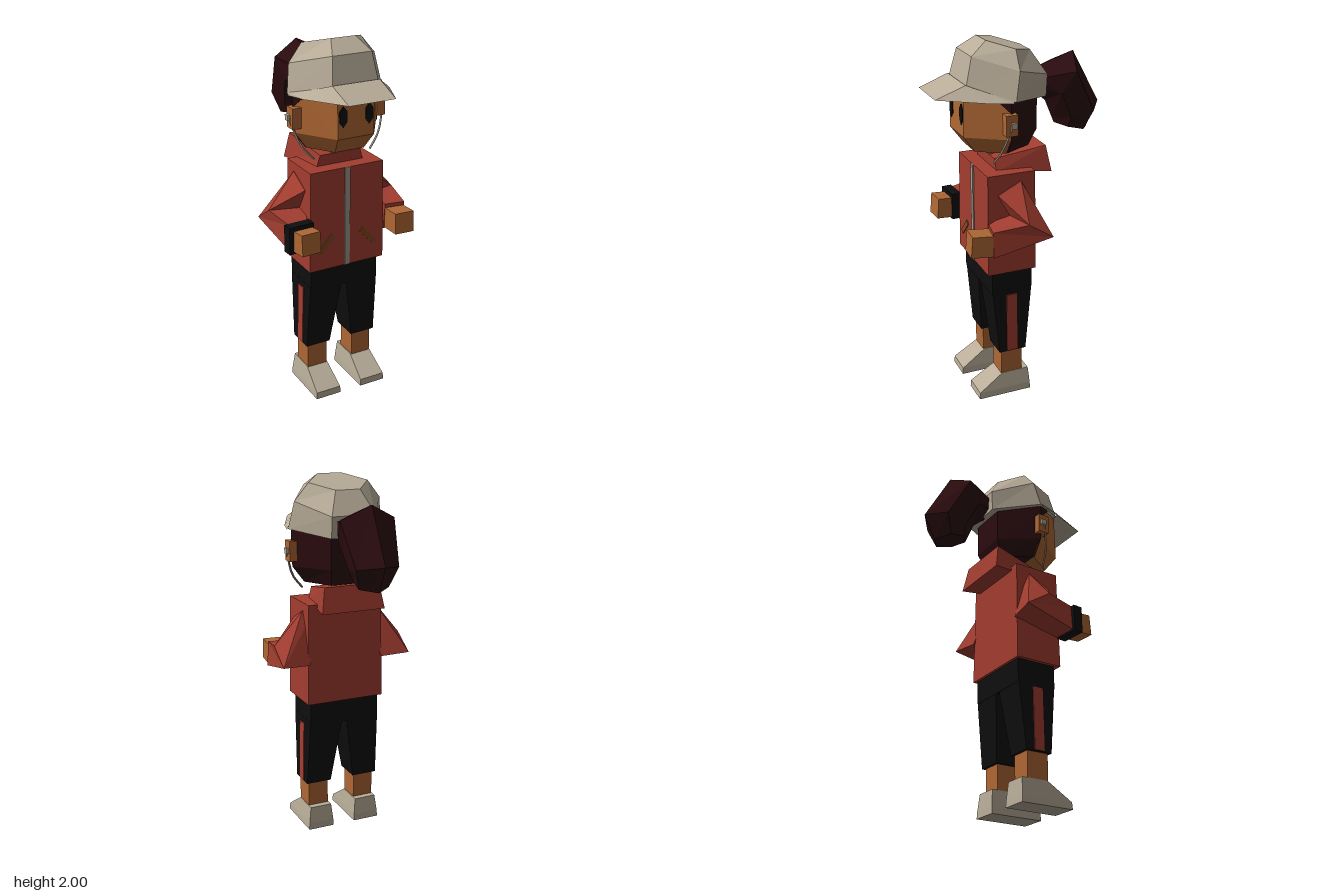
import * as THREE from 'three';

const mat = (name, color, extra = {}) => {
  const m = new THREE.MeshStandardMaterial({ color, flatShading: true, ...extra });
  m.name = name;
  return m;
};

// Closed faceted solid through rings of [x, y, z] points; s = -1 mirrors it in x.
function loft(rings, s = 1) {
  const n = rings[0].length, tris = [];
  for (let i = 0; i + 1 < rings.length; i++) {
    for (let j = 0; j < n; j++) {
      const k = (j + 1) % n;
      const a = rings[i][j], b = rings[i][k], c = rings[i + 1][k], d = rings[i + 1][j];
      tris.push([a, b, c], [a, c, d]);
    }
  }
  const first = rings[0], last = rings[rings.length - 1];
  for (let j = 1; j + 1 < n; j++) {
    tris.push([first[0], first[j + 1], first[j]], [last[0], last[j], last[j + 1]]);
  }
  // Turn all faces outward, judged by the signed volume
  const vec = p => new THREE.Vector3(p[0] * s, p[1], p[2]);
  const faces = tris.map(t => t.map(vec));
  const o = faces[0][0];
  let volume = 0;
  for (const [a, b, c] of faces) {
    volume += a.clone().sub(o).dot(b.clone().sub(o).cross(c.clone().sub(o)));
  }
  if (volume < 0) faces.forEach(f => f.reverse());
  const g = new THREE.BufferGeometry().setFromPoints(faces.flat());
  g.computeVertexNormals();
  return g;
}

// Rectangular ring at height y
const rect = (y, x0, x1, z0, z1) => [[x0, y, z0], [x1, y, z0], [x1, y, z1], [x0, y, z1]];
// Six-sided ring: front, side and back corners given as [x, y, z]
const hex = (f, m, b) => [f, m, b, [-b[0], b[1], b[2]], [-m[0], m[1], m[2]], [-f[0], f[1], f[2]]];
// Half-head ring: side corners and front or back corners
const half = (y, w, zm, f, zf) => [[w, y, zm], [f, y, zf], [-f, y, zf], [-w, y, zm]];

export function createModel() {
  const model = new THREE.Group();
  model.name = 'figure';
  const red = mat('jacket red', 0xa33d30);
  const black = mat('black', 0x0e0e0e);
  const skin = mat('skin', 0xb06834);
  const beige = mat('cap beige', 0xb9ad99);
  const beigeThin = mat('brim beige', 0xb9ad99, { side: THREE.DoubleSide });
  const hair = mat('hair', 0x2b0c0f);
  const silver = mat('zip grey', 0xa39b8e);
  const brown = mat('pocket brown', 0x85491f);

  const add = (name, geometry, material, x = 0, y = 0, z = 0) => {
    const mesh = new THREE.Mesh(geometry, material);
    mesh.name = name;
    mesh.position.set(x, y, z);
    model.add(mesh);
    return mesh;
  };
  const box = (w, h, d) => new THREE.BoxGeometry(w, h, d);

  // Jacket body, hood collar and zip
  add('jacket', loft([rect(0.77, -0.225, 0.225, -0.025, 0.25), rect(1.33, -0.216, 0.216, -0.02, 0.245)]), red);
  add('hood', loft([
    [[-0.14, 1.32, 0.165], [0.14, 1.32, 0.165], [0.183, 1.30, -0.13], [-0.183, 1.30, -0.13]],
    [[-0.12, 1.39, 0.17], [0.12, 1.39, 0.17], [0.16, 1.44, -0.105], [-0.16, 1.44, -0.105]],
  ]), red);
  add('zip', box(0.03, 0.56, 0.008), silver, 0, 1.05, 0.25);
  add('waist', loft([rect(0.64, -0.205, 0.205, -0.008, 0.222), rect(0.78, -0.205, 0.205, -0.01, 0.22)]), black);

  for (const s of [1, -1]) {
    const side = s > 0 ? 'left' : 'right';

    // Pocket and eye
    add(side + 'Pocket', box(0.125, 0.03, 0.008), brown, s * 0.128, 0.915, 0.25).rotation.z = -s * 0.8;
    const eye = new THREE.CylinderGeometry(0.025, 0.025, 0.008, 6).rotateX(Math.PI / 2).scale(1, 2.2, 1);
    add(side + 'Eye', eye, black, s * 0.075, 1.635, 0.329);

    // Leg, stripe, shin and shoe
    add(side + 'TrouserLeg', loft([
      rect(0.275, 0.07, 0.215, 0.03, 0.185), rect(0.66, 0.012, 0.206, -0.008, 0.22),
    ], s), black);
    add(side + 'Stripe', loft([
      rect(0.28, 0.21, 0.219, 0.08, 0.14), rect(0.625, 0.203, 0.212, 0.08, 0.14),
    ], s), red);
    add(side + 'Shin', box(0.118, 0.2, 0.125), skin, s * 0.141, 0.2, 0.108);
    add(side + 'Shoe', loft([
      rect(0, 0.065, 0.217, 0, 0.308), rect(0.038, 0.067, 0.215, 0.002, 0.305), rect(0.132, 0.077, 0.203, 0.01, 0.165),
    ], s), beige);

    // Sleeve bent at the elbow, and hand
    add(side + 'Sleeve', loft([
      [[0.15, 1.285, 0.06], [0.22, 1.285, 0.06], [0.22, 1.22, 0.19], [0.15, 1.22, 0.19]],
      [[0.215, 1.0, -0.035], [0.378, 1.01, -0.057], [0.378, 1.1, 0.08], [0.2, 1.1, 0.13]],
      [[0.225, 0.935, 0.25], [0.352, 0.935, 0.268], [0.345, 1.075, 0.268], [0.235, 1.075, 0.25]],
    ], s), red);
    const hand = add(side + 'Hand', box(0.11, 0.115, 0.14), skin, s * 0.285, 1.0, 0.307);
    hand.rotation.set(-0.08, -s * 0.07, 0);

    // Ear, earphone and wire
    add(side + 'Ear', box(0.05, 0.11, 0.065), skin, s * 0.247, 1.605, 0.13);
    add(side + 'Earphone', box(0.032, 0.03, 0.03), beige, s * 0.272, 1.607, 0.122);
    const wire = new THREE.CatmullRomCurve3([
      [0.276, 1.61, 0.13], [0.262, 1.55, 0.145], [0.228, 1.46, 0.17], [0.165, 1.385, 0.19],
    ].map(p => new THREE.Vector3(s * p[0], p[1], p[2])));
    add(side + 'Wire', new THREE.TubeGeometry(wire, 6, 0.006, 4), silver);

    // Hair showing in front of the ear
    const tuft = d => [[0.243, 1.75, 0.12], [0.243, 1.66, 0.12], [0.19, 1.75, 0.206]]
      .map(p => [p[0] + 0.81 * d, p[1], p[2] + 0.58 * d]);
    add(side + 'Tuft', loft([tuft(0), tuft(0.011)], s), hair);
  }

  // Band on the right wrist
  add('wristBand', box(0.145, 0.15, 0.055), black, -0.296, 1.005, 0.268).rotation.y = 0.07;

  // Neck, face and back hair
  add('neck', box(0.105, 0.14, 0.095), skin, 0, 1.41, 0.118);
  add('face', loft([
    half(1.43, 0.18, 0.12, 0.085, 0.265), half(1.52, 0.245, 0.12, 0.105, 0.33), half(1.78, 0.243, 0.12, 0.105, 0.324),
  ]), skin);
  add('backHair', loft([
    half(1.43, 0.18, 0.125, 0.09, -0.035), half(1.52, 0.248, 0.125, 0.108, -0.075), half(1.76, 0.252, 0.125, 0.108, -0.075),
  ]), hair);

  // Cap crown, tilted back, and brim
  add('cap', loft([
    hex([0.13, 1.79, 0.32], [0.275, 1.725, 0.11], [0.125, 1.695, -0.12]),
    hex([0.112, 1.935, 0.283], [0.25, 1.873, 0.08], [0.125, 1.81, -0.126]),
    hex([0.07, 2.0, 0.19], [0.172, 1.967, 0.07], [0.07, 1.935, -0.05]),
  ]), beige);
  const inner = [[0.27, 1.735, 0.12], [0.2, 1.765, 0.225], [0.135, 1.8, 0.325]];
  const outer = [[0.277, 1.72, 0.12], [0.245, 1.725, 0.24], [0.132, 1.74, 0.485]];
  const flip = p => [-p[0], p[1], p[2]];
  const mirrored = row => [...row, ...row.slice().reverse().map(flip)];
  const brimIn = mirrored(inner), brimOut = mirrored(outer), brim = [];
  for (let i = 0; i < 5; i++) {
    brim.push(brimIn[i], brimIn[i + 1], brimOut[i + 1], brimIn[i], brimOut[i + 1], brimOut[i]);
  }
  const brimGeometry = new THREE.BufferGeometry().setFromPoints(brim.map(p => new THREE.Vector3(...p).setX(-p[0])));
  brimGeometry.computeVertexNormals();
  add('brim', brimGeometry, beigeThin);

  // Ponytail: each ring runs from an outer to an inner point [y, z]
  const tail = (o, i, w) => [[0, 0], [w, 0.3], [w * 0.85, 0.75], [0, 1], [-w * 0.85, 0.75], [-w, 0.3]]
    .map(([x, t]) => [x, o[0] + (i[0] - o[0]) * t, o[1] + (i[1] - o[1]) * t]);
  add('ponytail', loft([
    tail([1.815, -0.1], [1.695, -0.1], 0.085),
    tail([1.89, -0.33], [1.635, -0.17], 0.153),
    tail([1.6, -0.487], [1.54, -0.21], 0.12),
    tail([1.46, -0.42], [1.505, -0.225], 0.085),
  ]), hair);

  return model;
}
